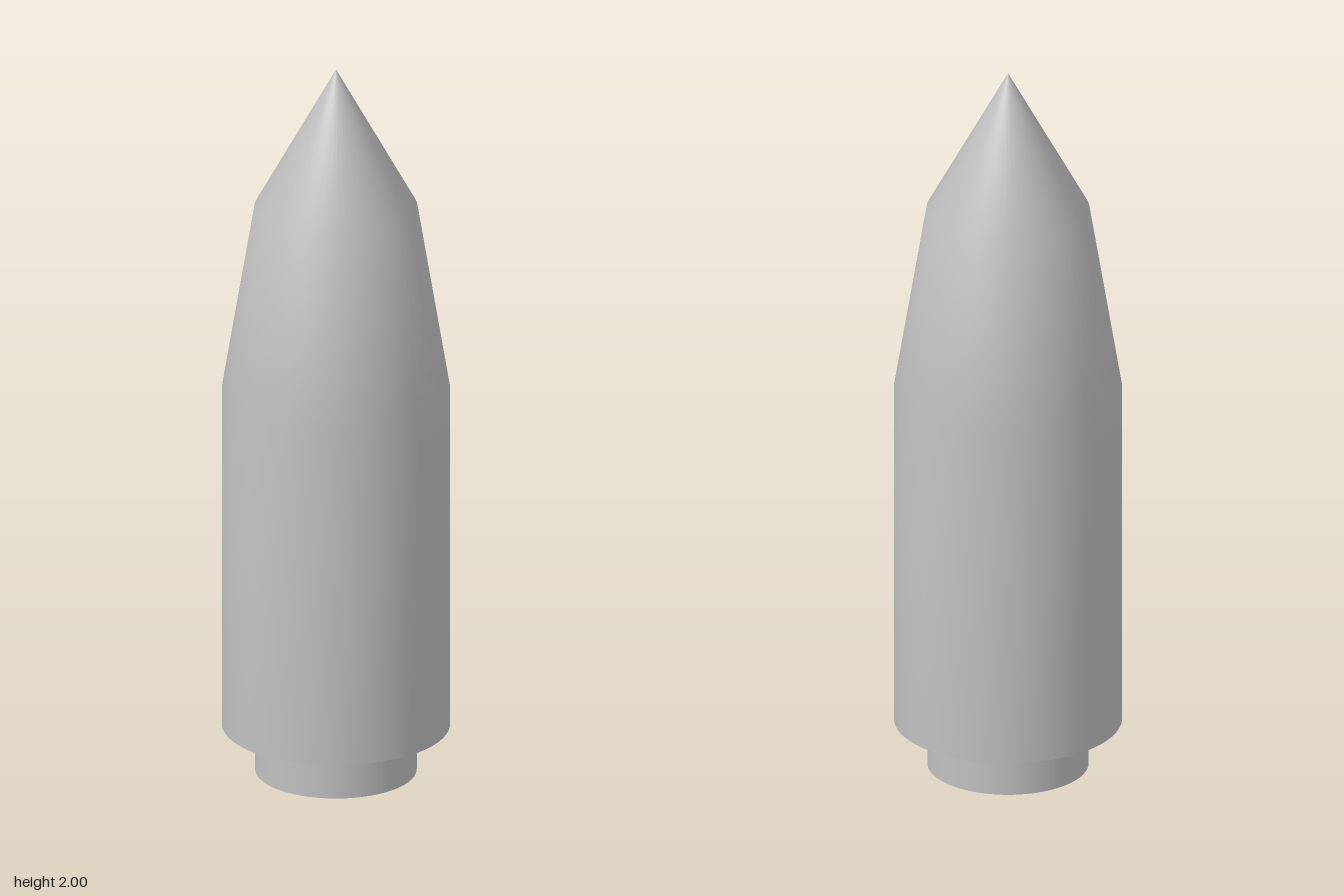
import * as THREE from 'three';

const SEGMENTS = 64;
const BODY_RADIUS = 0.304;
const BASE_RADIUS = 0.215;
const BODY_BOTTOM = 0.13;

export function createModel() {
  const group = new THREE.Group();
  const grey = new THREE.MeshStandardMaterial({ color: 0xc0c0c0 });
  grey.name = 'plain grey';

  const add = (name, geometry, y = 0) => {
    const mesh = new THREE.Mesh(geometry, grey);
    mesh.name = name;
    mesh.position.y = y;
    group.add(mesh);
    return mesh;
  };

  // Body: straight wall, tapered shoulder and pointed nose, shaded smoothly
  const profile = [
    [BODY_RADIUS, BODY_BOTTOM],
    [BODY_RADIUS, 1.09],
    [0.217, 1.61],
    [0, 2],
  ].map(([r, y]) => new THREE.Vector2(r, y));
  add('body', new THREE.LatheGeometry(profile, SEGMENTS));

  // Flat underside of the body, facing down
  const underside = new THREE.CircleGeometry(BODY_RADIUS, SEGMENTS);
  add('bodyUnderside', underside.rotateX(Math.PI / 2), BODY_BOTTOM);

  // Narrower base plug
  const base = new THREE.CylinderGeometry(BASE_RADIUS, BASE_RADIUS, BODY_BOTTOM, SEGMENTS);
  add('base', base, BODY_BOTTOM / 2);

  return group;
}
